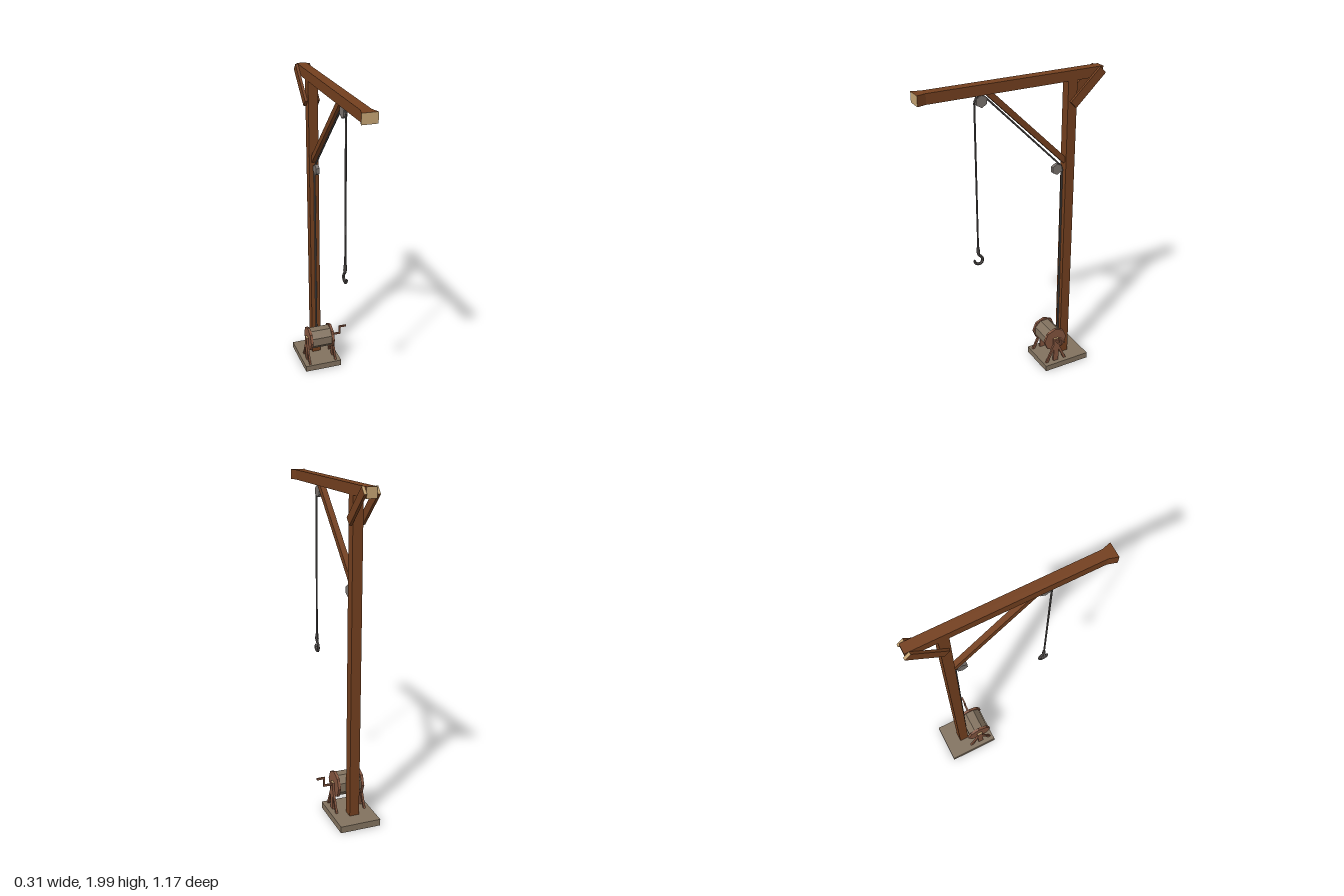
import * as THREE from 'three';

const mat = (name, color, side = THREE.FrontSide) =>
  Object.assign(new THREE.MeshStandardMaterial({ color, flatShading: true, side }), { name });

export function createModel() {
  const model = new THREE.Group();
  model.name = 'craneHoist';

  const wood = mat('wood', 0x74401f);
  const endGrain = mat('endGrain', 0xc4a373);
  const stone = mat('stone', 0x82725f, THREE.DoubleSide);
  const drumWood = mat('drumWood', 0x82725f);
  const redWood = mat('redWood', 0x84553f);
  const pulleyMetal = mat('pulleyMetal', 0x7a736e);
  const ropeMat = mat('rope', 0x5a5654);
  const iron = mat('iron', 0x55504e);

  const CX = -0.035; // centre line of the crane
  const WZ = -0.27, WY = 0.2; // winch axle

  const add = (name, geo, material, x = 0, y = 0, z = 0, parent = model) => {
    const m = new THREE.Mesh(geo, material);
    m.name = name;
    m.position.set(x, y, z);
    parent.add(m);
    return m;
  };
  const box = (name, material, w, h, d, x, y, z, parent) =>
    add(name, new THREE.BoxGeometry(w, h, d), material, x, y, z, parent);

  // Plank in the y-z plane running from a to b, each given as [z, y]
  const plank = (name, material, a, b, width, thick, x, parent) => {
    const dz = b[0] - a[0], dy = b[1] - a[1];
    const m = box(name, material, thick, Math.hypot(dz, dy), width,
      x, (a[1] + b[1]) / 2, (a[0] + b[0]) / 2, parent);
    m.rotation.x = Math.atan2(dz, dy);
    return m;
  };

  // Polygonal disc or drum with its axis along x
  const disc = (name, material, r, width, sides, x, y, z, turn, parent) => {
    const g = new THREE.CylinderGeometry(r, r, width, sides);
    g.rotateY(turn).rotateZ(Math.PI / 2);
    return add(name, g, material, x, y, z, parent);
  };

  // Tube along straight segments in the y-z plane, points as [z, y]
  const tube = (name, material, pts, r, steps, curved) => {
    const v = pts.map(([z, y]) => new THREE.Vector3(CX, y, z));
    let curve;
    if (curved) curve = new THREE.CatmullRomCurve3(v);
    else {
      curve = new THREE.CurvePath();
      for (let i = 1; i < v.length; i++) curve.add(new THREE.LineCurve3(v[i - 1], v[i]));
    }
    return add(name, new THREE.TubeGeometry(curve, steps, r, 6), material);
  };

  // Base: slab hollow underneath (bottom face left out)
  const baseGeo = new THREE.BoxGeometry(0.25, 0.04, 0.32);
  const idx = Array.from(baseGeo.index.array);
  idx.splice(18, 6);
  baseGeo.setIndex(idx);
  baseGeo.clearGroups();
  add('base', baseGeo, stone, CX, 0.02, -0.338);

  // Upright post
  box('post', wood, 0.06, 1.9, 0.06, CX, 0.982, -0.37);

  // Top beam, flared sideways at the front, with pale sawn ends
  const beamGeo = new THREE.BoxGeometry(0.06, 0.06, 1.156, 1, 1, 2);
  const p = beamGeo.attributes.position;
  for (let i = 0; i < p.count; i++) {
    if (Math.abs(p.getZ(i)) < 0.01) p.setZ(i, 0.523);
    else if (p.getZ(i) > 0) p.setX(i, p.getX(i) * 1.52);
  }
  add('beam', beamGeo, [wood, wood, wood, wood, endGrain, endGrain], CX, 1.96, 0.006);

  // Rear braces on both sides of the post
  for (const s of [-1, 1]) {
    plank('rearBrace', [wood, wood, endGrain, wood, wood, wood],
      [-0.37, 1.79], [-0.563, 1.972], 0.053, 0.016, CX + s * 0.038);
  }

  // Front brace under the beam
  plank('frontBrace', wood, [-0.345, 1.44], [0.165, 1.94], 0.034, 0.034, CX);

  // Pulleys
  disc('frontPulley', pulleyMetal, 0.036, 0.022, 6, CX, 1.89, 0.2, 0, model).rotation.x = Math.PI / 2;
  disc('rearPulley', pulleyMetal, 0.035, 0.022, 6, CX, 1.393, -0.292, 0, model).rotation.x = Math.PI / 2;

  // Rope from the drum over both pulleys to the hook
  const ropePath = [
    [-0.336, 0.2], [-0.331, 1.385], [-0.322, 1.41], [0.17, 1.905],
    [0.195, 1.922], [0.225, 1.917], [0.24, 1.89], [0.24, 0.97]];
  for (let i = 1; i < ropePath.length; i++) {
    tube('rope', ropeMat, [ropePath[i - 1], ropePath[i]], 0.006, 1);
  }

  // Hook
  add('hookSocket', new THREE.CylinderGeometry(0.009, 0.012, 0.035, 6), iron, CX, 0.977, 0.24);
  tube('hook', iron, [[0.24, 0.965], [0.236, 0.942], [0.218, 0.925], [0.212, 0.9],
    [0.225, 0.883], [0.243, 0.882], [0.258, 0.89], [0.265, 0.905]], 0.009, 14, true);
  const tip = add('hookTip', new THREE.ConeGeometry(0.009, 0.016, 6), iron, CX, 0.912, 0.267);
  tip.rotation.x = 0.4;

  // Winch: drum, flanges and trestles
  const winch = new THREE.Group();
  winch.name = 'winch';
  model.add(winch);
  disc('drum', drumWood, 0.072, 0.145, 8, CX, WY, WZ, Math.PI / 8, winch);
  for (const s of [-1, 1]) {
    disc('flange', redWood, 0.082, 0.016, 8, CX + s * 0.075, WY, WZ, 0, winch);
    const x = CX + s * 0.09;
    box('trestlePost', [redWood, redWood, endGrain, redWood, redWood, redWood],
      0.013, 0.178, 0.036, x, 0.126, WZ, winch);
    for (const t of [-1, 1]) {
      plank('trestleLeg', redWood, [WZ + t * 0.07, 0.036], [WZ + t * 0.008, 0.17],
        0.016, 0.012, x, winch);
    }
  }

  // Crank handle on the left side
  box('axle', redWood, 0.055, 0.011, 0.011, 0.0825, WY, WZ, winch);
  box('crankArm', redWood, 0.011, 0.061, 0.011, 0.11, WY + 0.025, WZ, winch);
  box('crankGrip', redWood, 0.05, 0.011, 0.011, 0.13, WY + 0.05, WZ, winch);

  return model;
}
